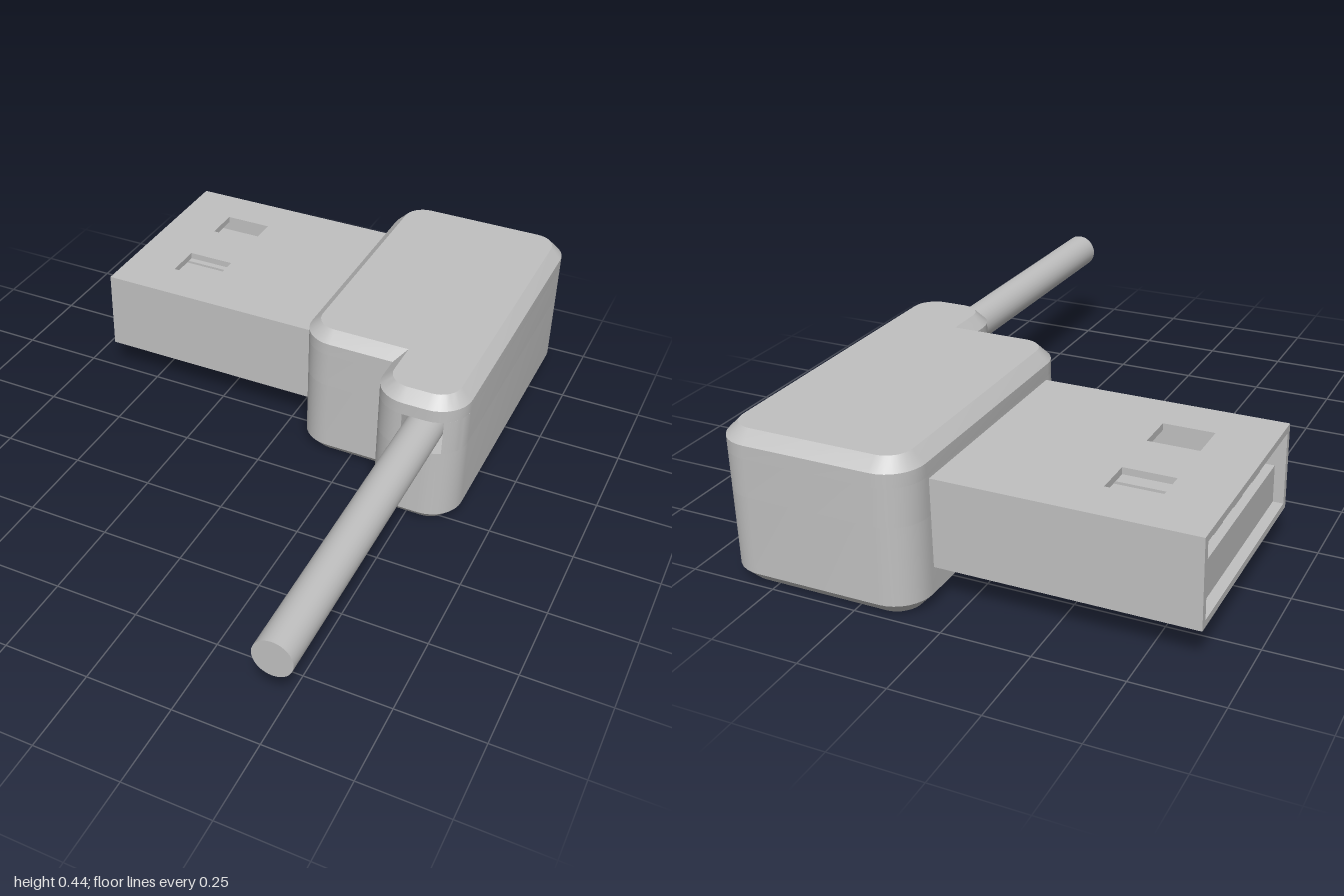
import * as THREE from 'three';
import { toCreasedNormals } from 'three/addons/utils/BufferGeometryUtils.js';

const grey = new THREE.MeshStandardMaterial({ color: 0xc0c0c0 });
grey.name = 'light grey';

const HALF = Math.PI / 2;

// Housing outline as [x, z] points; inset shrinks it, pocket cuts the cable slot
function outline(inset = 0, pocket = false) {
  const pts = [];
  const arc = (cx, cz, a0, a1, n = 8) => {
    for (let i = 0; i <= n; i++) {
      const a = a0 + (a1 - a0) * i / n, r = 0.1 - inset;
      pts.push(new THREE.Vector2(cx + r * Math.cos(a), cz + r * Math.sin(a)));
    }
  };
  arc(0.175, -0.9, 2 * HALF, 3 * HALF);
  arc(0.545, -0.9, 3 * HALF, 4 * HALF);
  arc(0.545, -0.045, 0, pocket ? Math.acos(0.5) : HALF);
  if (pocket) pts.push(new THREE.Vector2(0.595, -0.05), new THREE.Vector2(0.475, -0.05));
  arc(0.475, -0.045, HALF, 2 * HALF);
  pts.push(new THREE.Vector2(0.375 + inset, -0.12 - inset)); // inner corner
  arc(0.175, -0.22, HALF, 2 * HALF);
  return pts;
}

// Closed solid through stacked rings [[points, y], ...]
function loft(rings) {
  const pos = [];
  const put = (ring, i) => pos.push(ring[0][i].x, ring[1], ring[0][i].y);
  const n = rings[0][0].length;
  for (let k = 0; k + 1 < rings.length; k++) {
    const lo = rings[k], hi = rings[k + 1];
    for (let i = 0; i < n; i++) {
      const j = (i + 1) % n;
      put(lo, i); put(hi, i); put(lo, j);
      put(hi, i); put(hi, j); put(lo, j);
    }
  }
  const first = rings[0], last = rings[rings.length - 1];
  for (const [a, b, c] of THREE.ShapeUtils.triangulateShape(first[0], [])) {
    put(first, a); put(first, b); put(first, c);
  }
  for (const [a, b, c] of THREE.ShapeUtils.triangulateShape(last[0], [])) {
    put(last, a); put(last, c); put(last, b);
  }
  const geo = new THREE.BufferGeometry();
  geo.setAttribute('position', new THREE.Float32BufferAttribute(pos, 3));
  return toCreasedNormals(geo, 0.5);
}

function add(parent, name, geo, x = 0, y = 0, z = 0) {
  const mesh = new THREE.Mesh(geo, grey);
  mesh.name = name;
  mesh.position.set(x, y, z);
  parent.add(mesh);
  return mesh;
}

// Box given by its minimum and maximum corners
function addBox(parent, name, [x0, y0, z0], [x1, y1, z1]) {
  return add(parent, name, new THREE.BoxGeometry(x1 - x0, y1 - y0, z1 - z0),
    (x0 + x1) / 2, (y0 + y1) / 2, (z0 + z1) / 2);
}

// Rectangle in x and -z, so that rotating it by -90 degrees lays it flat
function rect(Type, x0, x1, z0, z1) {
  return new Type([[x0, -z1], [x1, -z1], [x1, -z0], [x0, -z0]]
    .map(([x, y]) => new THREE.Vector2(x, y)));
}

export function createModel() {
  const model = new THREE.Group();
  model.name = 'angledPlug';

  // Housing in three layers; the middle one holds the cable pocket
  const housing = new THREE.Group();
  housing.name = 'housing';
  model.add(housing);
  const full = outline(), small = outline(0.034), slotted = outline(0, true);
  add(housing, 'housingBase', loft([[small, 0], [full, 0.036], [full, 0.26]]));
  add(housing, 'housingMiddle', loft([[slotted, 0.26], [slotted, 0.37]]));
  add(housing, 'housingTop', loft([[full, 0.37], [full, 0.408], [small, 0.442]]));

  // Cable
  const cable = new THREE.CylinderGeometry(0.055, 0.055, 1.05, 32).rotateX(HALF);
  add(model, 'cable', cable, 0.53, 0.315, 0.475);

  // Hollow metal sleeve, open at the end, with two windows above and below
  const sleeve = new THREE.Group();
  sleeve.name = 'connectorSleeve';
  model.add(sleeve);
  const wall = 0.02;
  const plate = rect(THREE.Shape, -0.645, 0.08, -0.89, -0.23);
  for (const [z0, z1] of [[-0.755, -0.643], [-0.48, -0.365]]) {
    plate.holes.push(rect(THREE.Path, -0.483, -0.335, z0, z1));
  }
  const plateGeo = new THREE.ExtrudeGeometry(plate, { depth: wall, bevelEnabled: false }).rotateX(-HALF);
  add(sleeve, 'sleeveTop', plateGeo, 0, 0.362 - wall, 0);
  add(sleeve, 'sleeveBottom', plateGeo, 0, 0.11, 0);
  addBox(sleeve, 'sleeveBackWall', [-0.645, 0.13, -0.89], [0.08, 0.342, -0.87]);
  addBox(sleeve, 'sleeveFrontWall', [-0.645, 0.13, -0.25], [0.08, 0.342, -0.23]);

  // Tongue with four contacts
  addBox(model, 'tongue', [-0.615, 0.13, -0.87], [0.08, 0.24, -0.25]);
  for (let i = 0; i < 4; i++) {
    const z = -0.56 + (i - 1.5) * 0.15;
    addBox(model, 'contact', [-0.59, 0.24, z - 0.035], [-0.1, 0.248, z + 0.035]);
  }
  return model;
}
